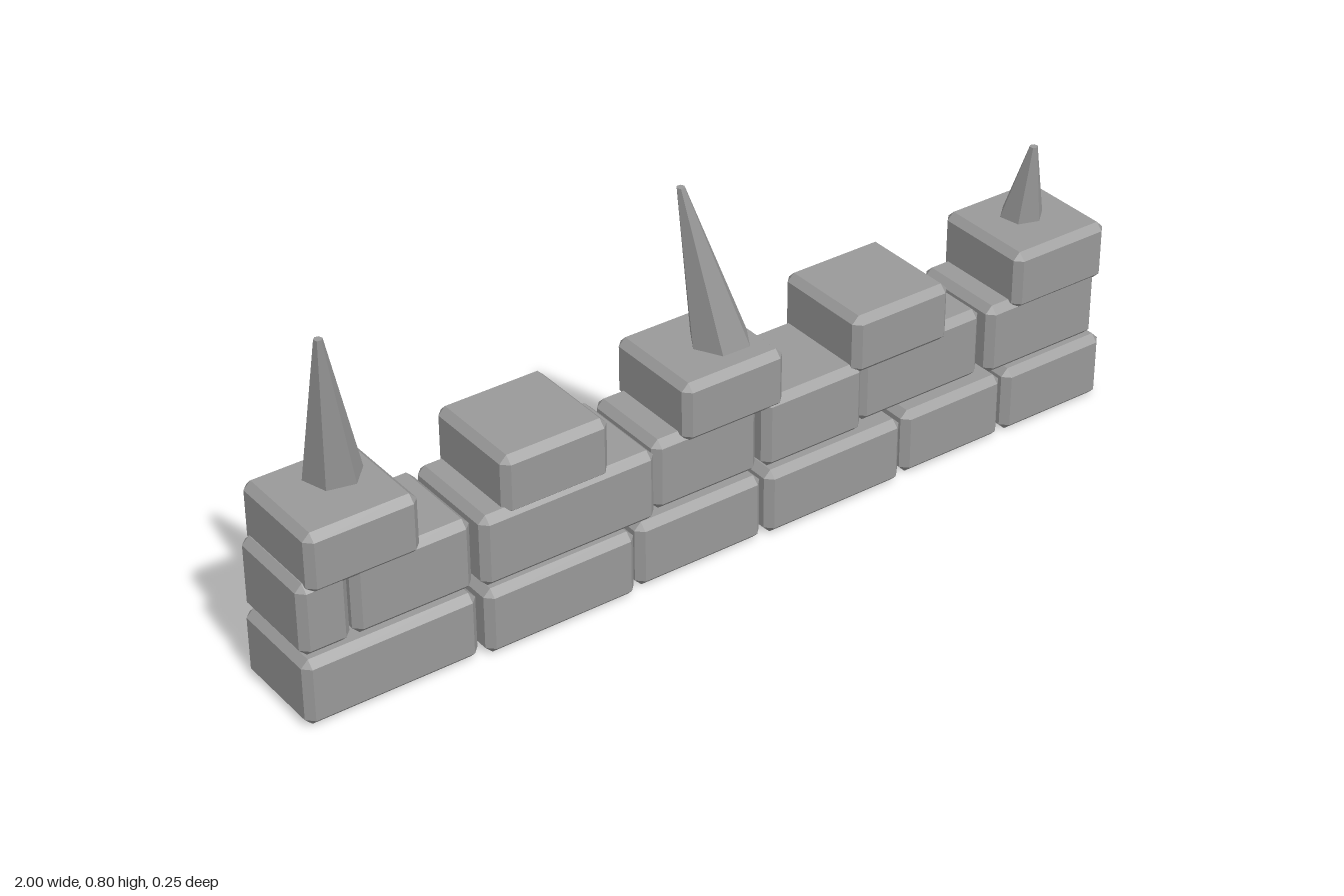
import * as THREE from 'three';
import { ConvexGeometry } from 'three/addons/geometries/ConvexGeometry.js';

const stone = new THREE.MeshStandardMaterial({ color: 0x999999, flatShading: true });
stone.name = 'stone grey';

// Box with every edge cut at 45 degrees
function chamferedBox(w, h, d, c) {
  const points = [];
  for (const sx of [-1, 1]) for (const sy of [-1, 1]) for (const sz of [-1, 1]) {
    const x = w / 2, y = h / 2, z = d / 2;
    points.push(
      new THREE.Vector3(sx * x, sy * (y - c), sz * (z - c)),
      new THREE.Vector3(sx * (x - c), sy * y, sz * (z - c)),
      new THREE.Vector3(sx * (x - c), sy * (y - c), sz * z),
    );
  }
  return new ConvexGeometry(points);
}

// One course of bricks; each brick is [left x, right x, back z, front z]
function course(name, y0, y1, bricks) {
  const group = new THREE.Group();
  group.name = name;
  bricks.forEach(([x0, x1, z0, z1], i) => {
    const brick = new THREE.Mesh(chamferedBox(x1 - x0, y1 - y0, z1 - z0, 0.016), stone);
    brick.position.set((x0 + x1) / 2, (y0 + y1) / 2, (z0 + z1) / 2);
    brick.name = `${name}Brick${i + 1}`;
    group.add(brick);
  });
  return group;
}

// Leaning faceted spike: a tapered cylinder sheared from base to tip
function spike(name, base, tip, radius, turn) {
  const y0 = 0.43, h = tip[1] - y0;
  const g = new THREE.CylinderGeometry(0.009, radius, h, 6);
  g.rotateY(turn);
  g.translate(0, h / 2, 0);
  const p = g.attributes.position;
  for (let i = 0; i < p.count; i++) {
    const t = p.getY(i) / h;
    p.setX(i, p.getX(i) + (tip[0] - base[0]) * t);
    p.setZ(i, p.getZ(i) + (tip[2] - base[1]) * t);
  }
  const flat = g.toNonIndexed();
  flat.computeVertexNormals();
  const mesh = new THREE.Mesh(flat, stone);
  mesh.position.set(base[0], y0, base[1]);
  mesh.name = name;
  return mesh;
}

export function createModel() {
  const wall = new THREE.Group();
  wall.name = 'spikedWall';

  // Two full courses
  wall.add(course('lowerCourse', 0, 0.152, [
    [-1, -0.61, -0.122, 0.112], [-0.6, -0.245, -0.12, 0.125], [-0.235, 0.077, -0.115, 0.115],
    [0.085, 0.438, -0.122, 0.12], [0.45, 0.718, -0.118, 0.112], [0.727, 1, -0.122, 0.112],
  ]));
  wall.add(course('middleCourse', 0.162, 0.325, [
    [-1, -0.89, -0.115, 0.11], [-0.883, -0.615, -0.12, 0.108], [-0.605, -0.195, -0.12, 0.125],
    [-0.187, 0.07, -0.11, 0.107], [0.08, 0.335, -0.12, 0.115], [0.343, 0.665, -0.115, 0.095],
    [0.675, 0.975, -0.118, 0.11],
  ]));

  // Spaced battlements
  wall.add(course('battlement', 0.303, 0.438,
    [-0.858, -0.425, 0.003, 0.43, 0.86].map((x) => [x - 0.124, x + 0.124, -0.125, 0.12])));

  // Spikes on the end and middle battlements
  wall.add(
    spike('rightSpike', [-0.828, -0.04], [-0.882, 0.79, 0.036], 0.062, 0.3),
    spike('middleSpike', [0.045, 0.01], [-0.035, 0.8, -0.015], 0.067, 0.5),
    spike('leftSpike', [0.863, -0.02], [0.852, 0.62, 0.02], 0.05, 0.2),
  );
  return wall;
}
